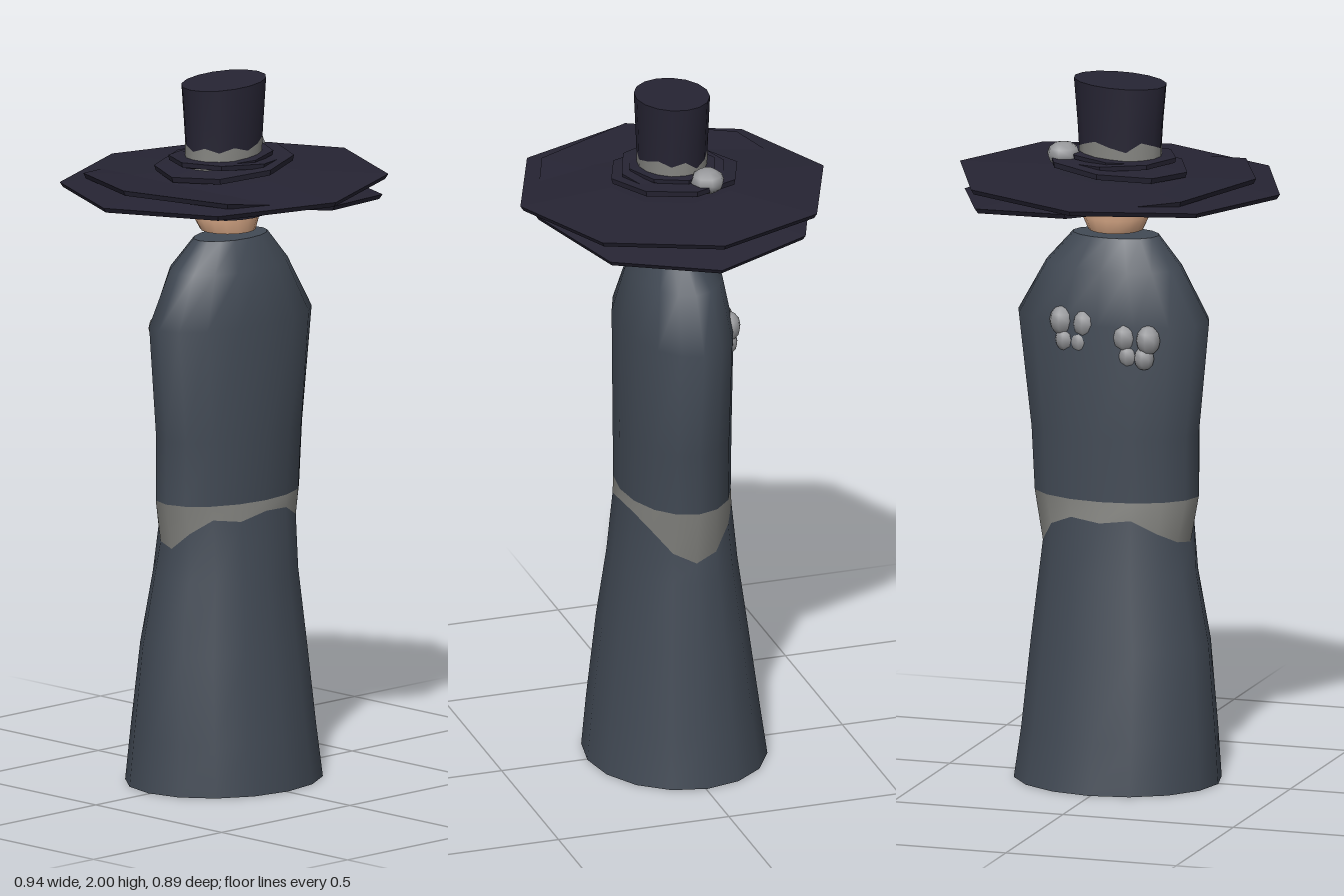
import * as THREE from 'three';

const SIDES = 16;

const makeMat = (name, color, double) => {
  const m = new THREE.MeshStandardMaterial({ color });
  m.name = name;
  if (double) m.side = THREE.DoubleSide;
  return m;
};

// Ellipse point at height y; profile rows are [y, xMin, xMax, zBack, zFront]
function sectionPoint(profile, y, i) {
  let k = 0;
  while (k < profile.length - 2 && y > profile[k + 1][0]) k++;
  const a = profile[k], b = profile[k + 1];
  const t = THREE.MathUtils.clamp((y - a[0]) / (b[0] - a[0]), 0, 1);
  const [x0, x1, z0, z1] = [1, 2, 3, 4].map(j => a[j] + (b[j] - a[j]) * t);
  const ang = (i / SIDES) * Math.PI * 2;
  return [(x0 + x1) / 2 + Math.sin(ang) * (x1 - x0) / 2, y,
    (z0 + z1) / 2 + Math.cos(ang) * (z1 - z0) / 2];
}

// Skin between levels, each a height or a list with one height per side
function loft(profile, levels, capBottom, capTop) {
  const pos = [], idx = [];
  const ring = level => {
    for (let i = 0; i < SIDES; i++) {
      pos.push(...sectionPoint(profile, Array.isArray(level) ? level[i] : level, i));
    }
  };
  levels.forEach(ring);
  for (let r = 0; r < levels.length - 1; r++) {
    for (let i = 0; i < SIDES; i++) {
      const j = (i + 1) % SIDES;
      const a = r * SIDES + i, b = r * SIDES + j;
      idx.push(a, b, b + SIDES, a, b + SIDES, a + SIDES);
    }
  }
  const cap = (level, up) => {
    const s = pos.length / 3;
    ring(level);
    for (let i = 1; i < SIDES - 1; i++) {
      if (up) idx.push(s, s + i, s + i + 1);
      else idx.push(s, s + i + 1, s + i);
    }
  };
  if (capBottom) cap(levels[0], false);
  if (capTop) cap(levels[levels.length - 1], true);
  const g = new THREE.BufferGeometry();
  g.setAttribute('position', new THREE.Float32BufferAttribute(pos, 3));
  g.setIndex(idx);
  g.computeVertexNormals();
  return g;
}

// Eight-sided disc with a thin rim and a slightly raised middle
function brimGeometry(r, thick, rise) {
  const pts = [[0, rise - thick], [r * 0.98, -thick], [r, 0], [r * 0.4, rise], [0, rise]]
    .map(p => new THREE.Vector2(...p));
  const g = new THREE.LatheGeometry(pts, 8).toNonIndexed();
  g.computeVertexNormals();
  return g;
}

export function createModel() {
  const coat = makeMat('slate coat', 0x424a55);
  const hatMat = makeMat('dark hat', 0x262433, true);
  const beltMat = makeMat('grey cloth', 0x858581, true);
  const puffMat = makeMat('pale grey', 0x96979a);
  const skin = makeMat('skin', 0xd9a987);

  const model = new THREE.Group();
  const add = (name, geo, mat, parent = model) => {
    const m = new THREE.Mesh(geo, mat);
    m.name = name;
    parent.add(m);
    return m;
  };

  // Robe: skirt, ragged belt and bodice share one profile
  const body = [
    [0.005, -0.29, 0.30, -0.26, 0.25], [0.15, -0.28, 0.28, -0.24, 0.235],
    [0.40, -0.26, 0.255, -0.205, 0.205], [0.70, -0.205, 0.22, -0.16, 0.165],
    [0.82, -0.23, 0.25, -0.15, 0.157], [1.00, -0.23, 0.26, -0.15, 0.16],
    [1.32, -0.26, 0.30, -0.15, 0.16], [1.47, -0.18, 0.215, -0.125, 0.125],
    [1.555, -0.11, 0.14, -0.065, 0.085],
  ];
  const beltEdge = [0.79, 0.785, 0.75, 0.69, 0.66, 0.68, 0.74, 0.77,
    0.76, 0.77, 0.73, 0.70, 0.69, 0.74, 0.78, 0.77];
  add('skirt', loft(body, [0.005, 0.15, 0.4, 0.6, beltEdge], true, false), coat);
  add('belt', loft(body, [beltEdge, 0.82]), beltMat);
  add('bodice', loft(body, [0.82, 1.0, 1.32, 1.47, 1.555], false, true), coat);

  // Lobed tufts on the back
  for (const [x, y] of [[0.095, 1.31], [-0.09, 1.275]]) {
    const tuft = new THREE.Group();
    tuft.name = 'backTuft';
    tuft.position.set(x, y, -0.125);
    model.add(tuft);
    for (const [lx, ly, r] of [[-0.034, 0.012, 0.036], [0.034, 0.016, 0.036],
      [-0.022, -0.04, 0.03], [0.024, -0.036, 0.03]]) {
      const lobe = add('tuftLobe', new THREE.SphereGeometry(r, 8, 6), puffMat, tuft);
      lobe.position.set(lx, ly, 0);
      lobe.scale.set(1, 1.15, 0.9);
    }
  }

  // Head with a dark face wrap and a pale cloth under the hat
  const head = [
    [1.57, -0.065, 0.09, -0.075, 0.08], [1.61, -0.085, 0.105, -0.095, 0.09],
    [1.72, -0.09, 0.11, -0.10, 0.095],
  ];
  add('head', loft(head, [1.57, 1.61, 1.72], true, true), skin);
  const wrap = new THREE.CylinderGeometry(0.125, 0.112, 0.065, 8, 1, true, -Math.PI / 2, Math.PI);
  const wrapMesh = add('faceWrap', wrap, hatMat);
  wrapMesh.position.set(0.015, 1.647, 0.005);
  wrapMesh.scale.z = 0.88;
  const cloth = add('headCloth', new THREE.CylinderGeometry(0.112, 0.108, 0.03, 8, 1, true), beltMat);
  cloth.position.set(0.01, 1.677, -0.002);

  // Stacked crooked brims: [name, radius x, radius z, x, y, z, tilt, thickness, rise]
  const hat = new THREE.Group();
  hat.name = 'hat';
  model.add(hat);
  for (const [name, rx, rz, x, y, z, tilt, thick, rise] of [
    ['lowerBrim', 0.43, 0.405, 0.03, 1.695, 0.005, -0.105, 0.014, 0.012],
    ['upperBrim', 0.47, 0.445, 0, 1.715, 0, 0.03, 0.014, 0.02],
    ['lowerRing', 0.205, 0.185, 0.005, 1.765, -0.005, 0.09, 0.016, 0.006],
    ['middleRing', 0.175, 0.15, 0.01, 1.777, 0, -0.04, 0.014, 0.006],
    ['upperRing', 0.15, 0.125, 0, 1.785, 0, 0.06, 0.012, 0.006],
  ]) {
    const brim = add(name, brimGeometry(1, thick, rise), hatMat, hat);
    brim.scale.set(rx, 1, rz);
    brim.position.set(x, y, z);
    brim.rotation.z = tilt;
  }

  // Crown with a ragged band at its foot
  const crown = [
    [1.74, -0.12, 0.115, -0.095, 0.095], [1.84, -0.12, 0.118, -0.097, 0.097],
    [2.0, -0.135, 0.132, -0.103, 0.103],
  ];
  const bandEdge = [0, 1, 2, 1, 2, 0, 1, 2, 1, 0, 2, 1, 0, 1, 0, 1].map(v => 1.808 + v * 0.013);
  const crownTop = Array.from({ length: SIDES }, (_, i) =>
    1.993 + 0.007 * Math.sin((i / SIDES) * Math.PI * 2));
  add('hatBand', loft(crown, [1.74, bandEdge]), beltMat, hat);
  add('crown', loft(crown, [bandEdge, 1.88, crownTop], false, true), hatMat, hat);

  // Pale tuft on the hat's side
  const puff = add('hatTuft', new THREE.SphereGeometry(0.048, 8, 6), puffMat, hat);
  puff.position.set(0.147, 1.785, -0.055);
  puff.scale.set(1, 0.75, 1);

  return model;
}
